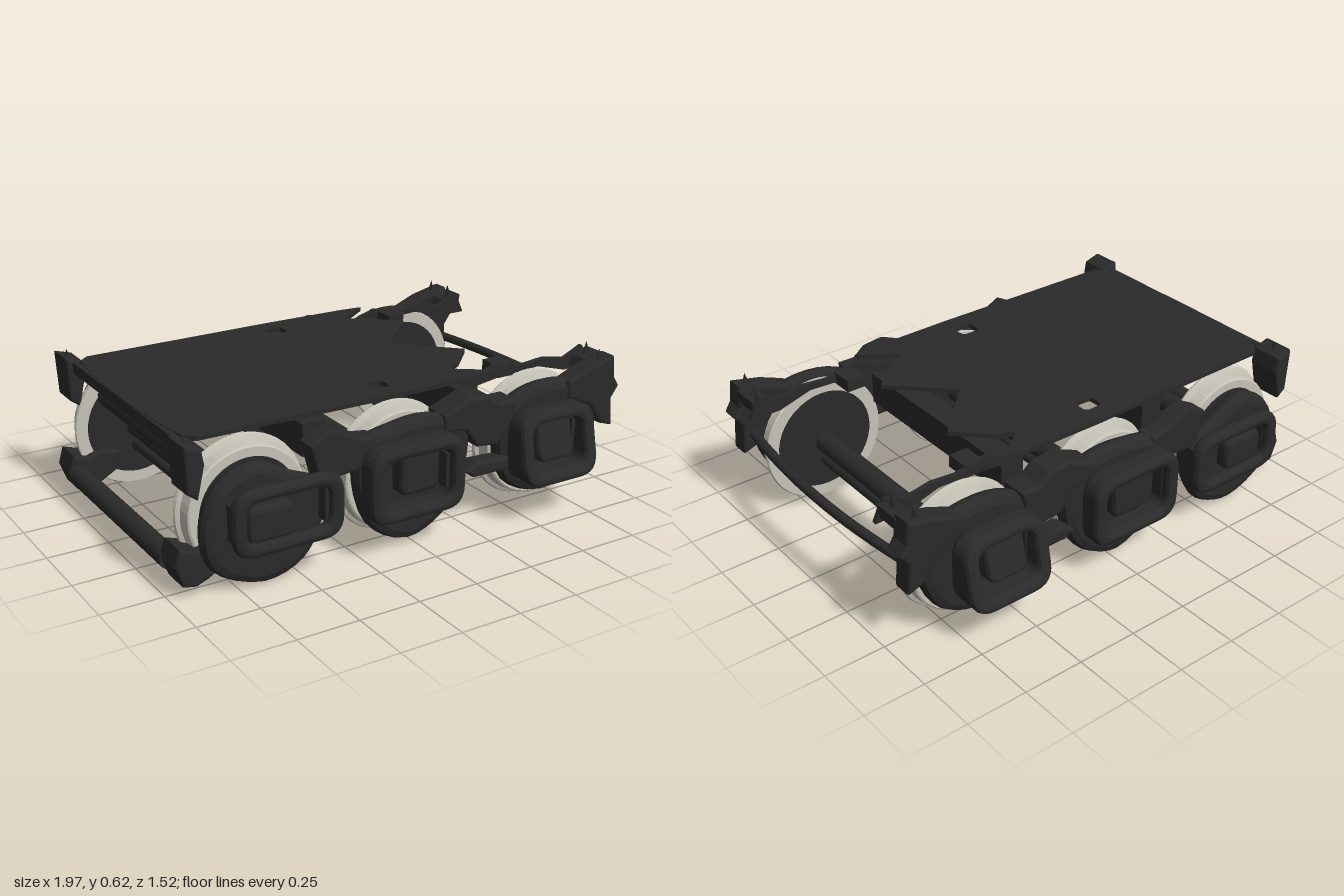
import * as THREE from 'three';

const dark = new THREE.MeshStandardMaterial({ color: 0x2a2a2a });
dark.name = 'dark iron';
dark.side = THREE.DoubleSide;
const light = new THREE.MeshStandardMaterial({ color: 0xc6c3b8 });
light.name = 'pale steel';

// Mirror a geometry in z and turn its faces the right way round
function mirrorZ(source) {
  const g = source.index ? source.toNonIndexed() : source.clone();
  g.scale(1, 1, -1);
  for (const a of Object.values(g.attributes)) {
    const n = a.itemSize;
    for (let i = 0; i < a.count; i += 3) {
      for (let k = 0; k < n; k++) {
        const p = (i + 1) * n + k, q = (i + 2) * n + k, t = a.array[p];
        a.array[p] = a.array[q];
        a.array[q] = t;
      }
    }
  }
  return g;
}

const vecs = (pts) => pts.map(([x, y]) => new THREE.Vector2(x, y));

// Bevelled plate in the xy plane, reaching from z0 to z1
function slab(shape, z0, z1, bevel = 0.02) {
  const g = new THREE.ExtrudeGeometry(shape, {
    depth: z1 - z0 - 2 * bevel, bevelEnabled: bevel > 0, bevelThickness: bevel,
    bevelSize: bevel, bevelOffset: -bevel, bevelSegments: 2, curveSegments: 6,
  });
  return g.translate(0, 0, z0 + bevel);
}

function roundRect(x0, x1, y0, y1, r, path = new THREE.Shape()) {
  path.moveTo(x0 + r, y0).lineTo(x1 - r, y0).quadraticCurveTo(x1, y0, x1, y0 + r);
  path.lineTo(x1, y1 - r).quadraticCurveTo(x1, y1, x1 - r, y1);
  path.lineTo(x0 + r, y1).quadraticCurveTo(x0, y1, x0, y1 - r);
  path.lineTo(x0, y0 + r).quadraticCurveTo(x0, y0, x0 + r, y0);
  return path;
}

export function createModel() {
  const model = new THREE.Group();
  model.name = 'threeAxleBogie';

  const add = (name, geometry, material = dark) => {
    const mesh = new THREE.Mesh(geometry, material);
    mesh.name = name;
    model.add(mesh);
  };
  const pair = (name, geometry, material = dark) => {
    add('left' + name, geometry, material);
    add('right' + name, mirrorZ(geometry), material);
  };
  const crossBar = (name, x, y, r, half) =>
    add(name, new THREE.CylinderGeometry(r, r, half * 2, 14).rotateX(Math.PI / 2).translate(x, y, 0));

  // Each axle: wheel centre, box and core extents, rim z range, slope, cover outline
  const axles = [
    { x: -0.67, box: [-0.81, -0.36, 0.16, 0.42], core: [-0.74, -0.55, 0.2, 0.34], z: [0.635, 0.69], slope: 0,
      cover: [[-0.89, 0.25], [-0.85, 0.1], [-0.65, 0.005], [-0.48, 0.06], [-0.4, 0.2], [-0.39, 0.34], [-0.52, 0.41], [-0.68, 0.48], [-0.83, 0.41]] },
    { x: -0.02, box: [-0.25, 0.17, 0.15, 0.45], core: [-0.11, 0.06, 0.24, 0.43], z: [0.6, 0.7], slope: 0,
      cover: [[-0.26, 0.34], [-0.2, 0.12], [-0.03, 0.02], [0.14, 0.09], [0.23, 0.23], [0.24, 0.44], [0.08, 0.51], [-0.1, 0.5], [-0.23, 0.46]] },
    { x: 0.64, box: [0.42, 0.78, 0.17, 0.46], core: [0.51, 0.68, 0.25, 0.43], z: [0.61, 0.7], slope: 0.22,
      cover: [[0.39, 0.32], [0.44, 0.15], [0.62, 0.07], [0.8, 0.13], [0.89, 0.3], [0.87, 0.46], [0.72, 0.53], [0.52, 0.52], [0.4, 0.44]] },
  ];

  const tyre = vecs([[0.2, 0.455], [0.205, 0.45], [0.262, 0.45], [0.266, 0.458], [0.262, 0.468],
    [0.247, 0.475], [0.242, 0.525], [0.235, 0.53], [0.2, 0.53], [0.2, 0.455]]);

  axles.forEach(({ x, box, core, z, slope, cover }) => {
    // Wheel tyre, web, inner disc and axle
    const ring = new THREE.LatheGeometry(tyre, 48).rotateX(Math.PI / 2).toNonIndexed();
    ring.computeVertexNormals();
    pair('WheelTyre', ring.translate(x, 0.28, 0), light);
    const disc = (r, depth, zc) =>
      new THREE.CylinderGeometry(r, r, depth, 40).rotateX(Math.PI / 2).translate(x, 0.28, zc);
    pair('WheelWeb', disc(0.201, 0.07, 0.49));
    pair('WheelInnerDisc', disc(0.213, 0.008, 0.45));
    crossBar('axle', x, 0.268, 0.044, 0.46);
    crossBar('brakeBar', x, 0.188, 0.028, 0.46);

    // Lumpy casting outside the wheel
    const outline = new THREE.CatmullRomCurve3(
      cover.map(([a, b]) => new THREE.Vector3(a, b, 0)), true).getPoints(36).slice(0, 36);
    pair('AxleCover', slab(new THREE.Shape(outline.map((p) => new THREE.Vector2(p.x, p.y))), 0.525, 0.61, 0.035));

    // Raised rim around the axle box, leaning outward where sloped
    const [x0, x1, y0, y1] = box;
    const rim = roundRect(x0, x1, y0, y1, 0.09);
    rim.holes.push(roundRect(x0 + 0.055, x1 - 0.055, y0 + 0.05, y1 - 0.05, 0.05, new THREE.Path()));
    const lean = (g) => {
      const p = g.attributes.position;
      for (let i = 0; i < p.count; i++)
        if (p.getZ(i) > 0.64) p.setZ(i, p.getZ(i) + (y1 - p.getY(i)) * slope);
      g.computeVertexNormals();
      return g;
    };
    pair('AxleBoxRim', lean(slab(rim, z[0], z[1], 0.02)));
    pair('AxleBox', lean(slab(roundRect(...core, 0.04), 0.57, z[1] - 0.025, 0.02)));
    // Lugs joining the rim to the casting
    for (const lx of [x0 + 0.035, x1 - 0.045])
      pair('AxleBoxLug', new THREE.BoxGeometry(0.05, 0.14, 0.1).translate(lx, (y0 + y1) / 2, 0.61));
  });

  // Side frame pieces between the wheels and at the ends: outline, z range
  const frame = [
    ['FrontLink', [[-0.46, 0.5], [-0.37, 0.55], [-0.25, 0.49], [-0.18, 0.48], [-0.2, 0.38], [-0.28, 0.36], [-0.42, 0.35]], 0.52, 0.61],
    ['RearLink', [[0.12, 0.5], [0.24, 0.55], [0.33, 0.54], [0.38, 0.5], [0.46, 0.5], [0.44, 0.4], [0.37, 0.33], [0.28, 0.34], [0.22, 0.42], [0.12, 0.43]], 0.5, 0.62],
    ['RearFrameEnd', [[0.72, 0.52], [0.82, 0.56], [0.95, 0.59], [0.96, 0.5], [0.985, 0.46], [0.95, 0.41], [0.96, 0.29], [0.9, 0.31], [0.84, 0.4], [0.72, 0.45]], 0.53, 0.62],
    ['FrontFrameEnd', [[-0.95, 0.6], [-0.88, 0.58], [-0.87, 0.52], [-0.9, 0.39], [-0.94, 0.42]], 0.46, 0.6],
    ['StepCorner', [[-0.98, 0.13], [-0.96, 0.2], [-0.9, 0.18], [-0.84, 0.2], [-0.76, 0.18], [-0.78, 0.1], [-0.85, 0.06], [-0.9, 0.04], [-0.95, 0.05]], 0.42, 0.56],
    ['LinkRod', [[0.22, 0.25], [0.27, 0.28], [0.46, 0.27], [0.46, 0.22], [0.26, 0.22]], 0.55, 0.63],
    ['RearTopBracket', [[0.86, 0.52], [0.88, 0.56], [0.96, 0.58], [0.95, 0.52]], 0.43, 0.55],
  ];
  frame.forEach(([name, pts, z0, z1]) => pair(name, slab(new THREE.Shape(vecs(pts)), z0, z1, 0.012)));

  // Jagged upper rail beside the open rear bay
  const rail = new THREE.Shape(vecs([[0.3, 0.54], [0.4, 0.55], [0.48, 0.585], [0.62, 0.56], [0.73, 0.57],
    [0.84, 0.55], [0.93, 0.59], [0.97, 0.5], [0.84, 0.5], [0.7, 0.54], [0.5, 0.53], [0.36, 0.51]]));
  pair('UpperRail', slab(rail, 0.425, 0.445, 0));
  pair('RailBracket', new THREE.BoxGeometry(0.08, 0.05, 0.1).translate(0.54, 0.55, 0.39));

  // Top deck with notched rear edge and two small openings
  const half = [[0.28, 0], [0.39, 0.11], [0.5, 0.22], [0.38, 0.34], [0.3, 0.38], [0.45, 0.49], [0.35, 0.5],
    [0, 0.505], [-0.4, 0.5], [-0.85, 0.495], [-0.89, 0.46], [-0.91, 0.3], [-0.92, 0.1]];
  const deckShape = new THREE.Shape(vecs([...half, ...half.slice(1).reverse().map(([x, z]) => [x, -z])]));
  for (const s of [1, -1])
    deckShape.holes.push(roundRect(-0.08, 0, s * 0.39 - 0.035, s * 0.39 + 0.035, 0.02, new THREE.Path()));
  const deck = new THREE.ExtrudeGeometry(deckShape, { depth: 0.018, bevelEnabled: false });
  add('deck', deck.rotateX(-Math.PI / 2).translate(0, 0.567, 0));
  add('deckFrontLip', new THREE.BoxGeometry(0.025, 0.045, 0.92).translate(-0.91, 0.56, 0));

  // Upturned spikes along the deck corners
  for (const [x, z] of [[-0.92, 0.53], [0.92, 0.48], [0.9, 0.58]])
    pair('EdgeSpike', new THREE.ConeGeometry(0.02, 0.06, 4).translate(x, 0.59, z));

  // Cross members below the deck
  for (const x of [0.36, -0.34])
    add('transom', new THREE.BoxGeometry(0.1, 0.13, 0.86).translate(x, 0.445, 0));
  crossBar('frontCrossBeam', -0.79, 0.43, 0.05, 0.43);
  crossBar('stepBar', -0.945, 0.115, 0.042, 0.44);
  const bow = new THREE.CatmullRomCurve3([[0.91, -0.54], [0.925, -0.43], [0.945, -0.2], [0.95, 0], [0.945, 0.2], [0.925, 0.43], [0.91, 0.54]]
    .map(([x, z]) => new THREE.Vector3(x, 0.368, z)));
  add('rearEndBar', new THREE.TubeGeometry(bow, 20, 0.02, 8));

  return model;
}
